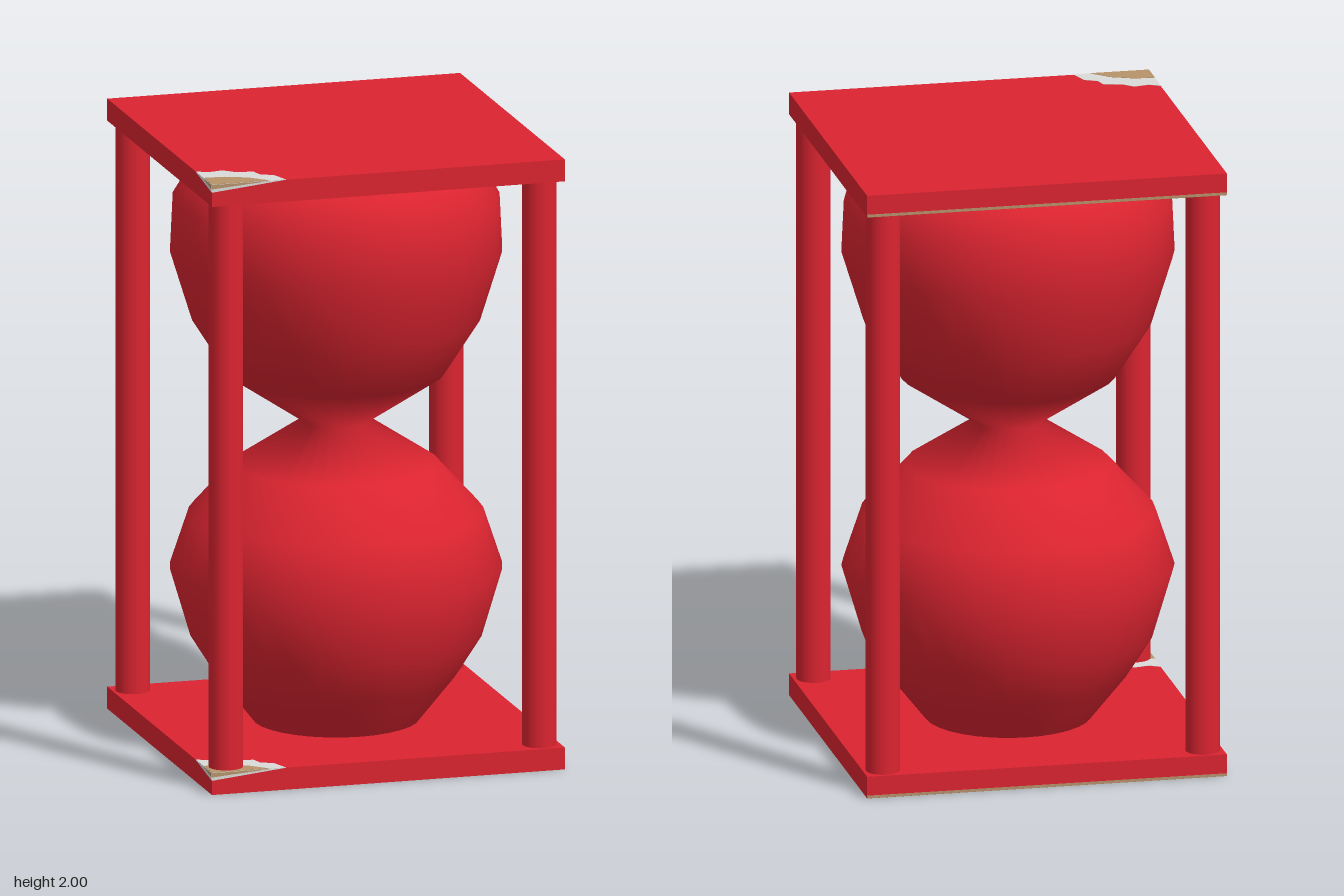
import * as THREE from 'three';

const red = new THREE.MeshStandardMaterial({ name: 'red', color: 0xdb2430 });
const grey = new THREE.MeshStandardMaterial({ name: 'pale grey', color: 0xdadad8 });
const tan = new THREE.MeshStandardMaterial({ name: 'tan wood', color: 0xb6926a });

const HALF = 0.585, THICK = 0.072;

function add(parent, name, geometry, material, x = 0, y = 0, z = 0) {
  const mesh = new THREE.Mesh(geometry, material);
  mesh.name = name;
  mesh.position.set(x, y, z);
  parent.add(mesh);
  return mesh;
}

// Thin flat plate from an outline of [x, y] points
function thinPlate(points, depth) {
  const shape = new THREE.Shape(points.map(([x, y]) => new THREE.Vector2(x, y)));
  return new THREE.ExtrudeGeometry(shape, { depth, bevelEnabled: false });
}

// Worn corner: grey undercoat with bare wood at the tip, on three faces
function addWornCorner(plate) {
  const layers = [
    { name: 'Undercoat', material: grey, depth: 0.001, drop: 0.025,
      edge: [[0, 0.18], [0.035, 0.16], [0.085, 0.17], [0.115, 0.14], [0.175, 0.125], [0.185, 0.085], [0.225, 0.065], [0.245, 0]] },
    { name: 'BareWood', material: tan, depth: 0.002, drop: 0.014,
      edge: [[0, 0.09], [0.065, 0.085], [0.135, 0.055], [0.19, 0]] },
  ];
  for (const { name, material, depth, drop, edge } of layers) {
    const top = add(plate, 'top' + name, thinPlate([[0, 0], ...edge.slice().reverse()], depth), material, -HALF, THICK, HALF);
    top.rotation.x = -Math.PI / 2;
    const alongX = edge[edge.length - 1][0], alongZ = edge[0][1];
    add(plate, 'front' + name, thinPlate([[0, 0], [0, -drop], [alongX, 0]], depth), material, -HALF, THICK, HALF);
    const side = add(plate, 'side' + name, thinPlate([[0, 0], [-alongZ, 0], [0, -drop]], depth), material, -HALF, THICK, HALF);
    side.rotation.y = -Math.PI / 2;
  }
}

function makePlate(name, y) {
  const plate = new THREE.Group();
  plate.name = name;
  plate.position.y = y;
  add(plate, 'board', new THREE.BoxGeometry(HALF * 2, THICK, HALF * 2), red, 0, THICK / 2, 0);
  addWornCorner(plate);
  // Bare strip along the lower back edge
  add(plate, 'wornBackEdge', new THREE.BoxGeometry(HALF * 2, 0.009, 0.002), tan, 0, 0.005, -HALF);
  return plate;
}

export function createModel() {
  const model = new THREE.Group();
  model.name = 'hourglass';

  // Square end plates
  model.add(makePlate('basePlate', 0), makePlate('topPlate', 2 - THICK));

  // Corner posts
  const post = new THREE.CylinderGeometry(0.055, 0.055, 2 - THICK * 2, 24, 1, true);
  for (const x of [-0.52, 0.52]) {
    for (const z of [-0.52, 0.52]) add(model, 'cornerPost', post, red, x, 1, z);
  }

  // Two bulbs meeting at a narrow neck
  const profile = [
    [0.265, 0.07], [0.38, 0.215], [0.465, 0.35], [0.53, 0.57], [0.47, 0.75], [0.325, 0.91],
    [0.11, 1.05],
    [0.345, 1.205], [0.46, 1.385], [0.53, 1.61], [0.522, 1.78], [0.465, 1.875], [0.385, 1.93],
  ].map(([r, y]) => new THREE.Vector2(r, y));
  add(model, 'glassBulbs', new THREE.LatheGeometry(profile, 32), red);

  return model;
}
